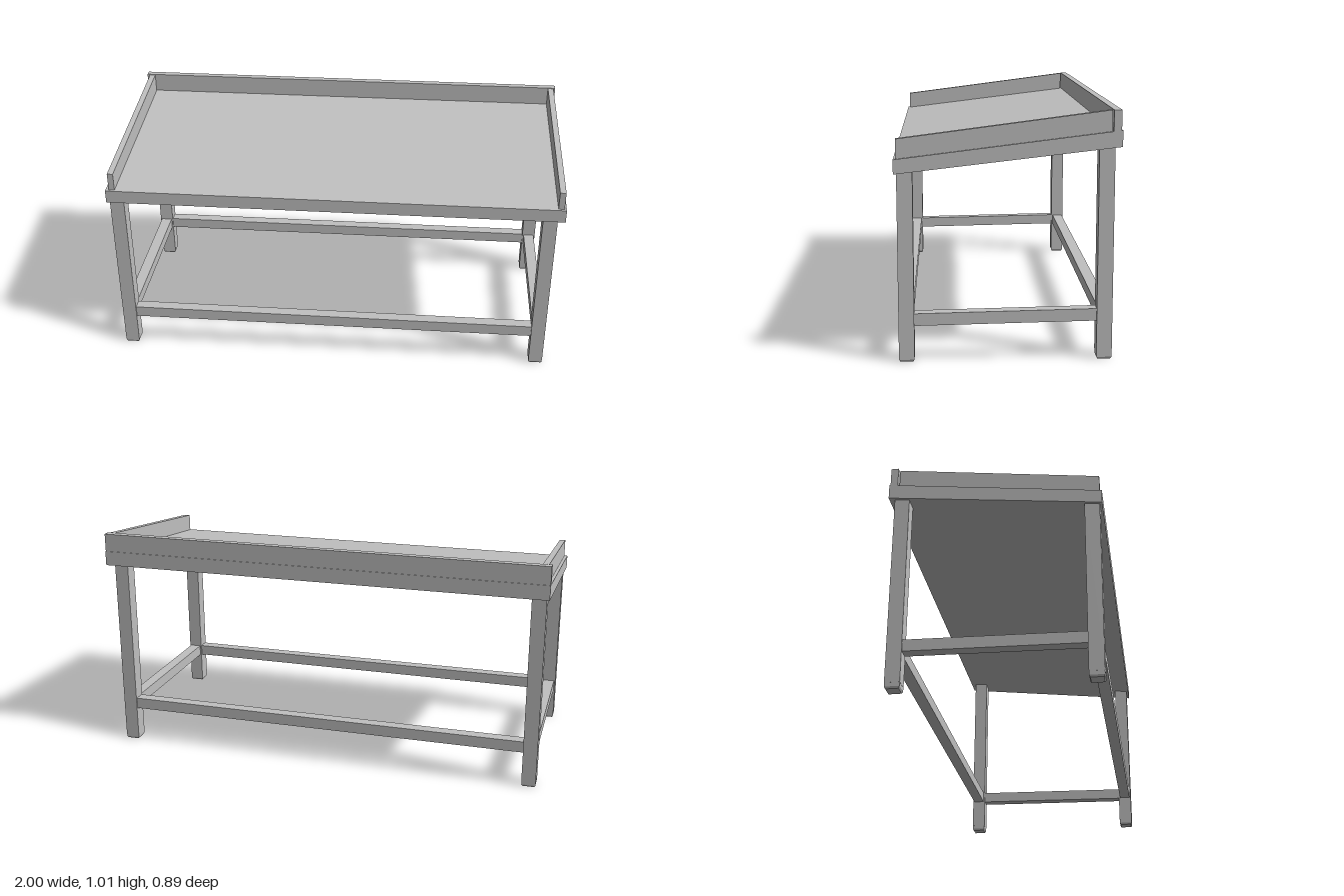
import * as THREE from 'three';

const steel = new THREE.MeshStandardMaterial({ color: 0xc0c0c0 });
steel.name = 'brushed grey';

// Heights of the sloping table top at depth z
const slabTop = z => 0.877 - z * 0.122;
const slabBottom = z => 0.816 - z * 0.114;

export function createModel() {
  const model = new THREE.Group();
  model.name = 'slopedTable';

  const add = (name, geometry) => {
    const mesh = new THREE.Mesh(geometry, steel);
    mesh.name = name;
    model.add(mesh);
    return mesh;
  };

  // Side profile of [z, y] points, extruded from x0 to x1
  const prism = (name, profile, x0, x1) => {
    const shape = new THREE.Shape(profile.map(([z, y]) => new THREE.Vector2(-z, y)));
    const geometry = new THREE.ExtrudeGeometry(shape, { depth: x1 - x0, bevelEnabled: false });
    geometry.rotateY(Math.PI / 2).translate(x0, 0, 0);
    return add(name, geometry);
  };

  // Sloping top
  const zF = 0.445, zB = -0.445;
  prism('tableTop', [
    [zF, slabBottom(zF)], [zB, slabBottom(zB)], [zB, slabTop(zB)], [zF, slabTop(zF)],
  ], -1, 1);

  // Raised rims: two sloping sides and the back
  const sideRim = [
    [0.435, slabTop(0.435)], [-0.405, slabTop(-0.405)], [-0.405, 1.01], [0.435, 0.902],
  ];
  prism('rightRim', sideRim, -0.986, -0.96);
  prism('leftRim', sideRim, 0.965, 0.991);
  prism('backRim', [
    [-0.409, slabTop(-0.409)], [-0.44, slabTop(-0.44)], [-0.44, 1.011], [-0.409, 1.011],
  ], -1, 1);

  // Legs cut to the slope, with chamfered feet
  const w = 0.0625, footH = 0.025;
  const legX = { right: -0.956, left: 0.937 };
  const legZ = { Front: 0.403, Back: -0.39 };
  for (const [side, x] of Object.entries(legX)) {
    for (const [end, z] of Object.entries(legZ)) {
      const f = z + w / 2, b = z - w / 2;
      prism(`${side}${end}Leg`, [
        [f, footH], [b, footH], [b, slabBottom(b)], [f, slabBottom(f)],
      ], x - w / 2, x + w / 2);

      let foot = new THREE.BoxGeometry(w * 0.98, footH, w * 0.98, 1, 3, 1);
      const p = foot.attributes.position;
      for (let i = 0; i < p.count; i++) {
        if (p.getY(i) < -footH * 0.4) p.setXYZ(i, p.getX(i) * 0.86, p.getY(i), p.getZ(i) * 0.86);
      }
      foot = foot.toNonIndexed();
      foot.computeVertexNormals();
      foot.translate(x, footH / 2, z);
      add(`${side}${end}Foot`, foot);
    }
  }

  // Long stretchers, the back one slightly higher
  const h = 0.05;
  const length = legX.left - legX.right - w;
  const midX = (legX.left + legX.right) / 2;
  const bottomY = { Front: 0.147, Back: 0.159 };
  for (const [end, z] of Object.entries(legZ)) {
    add(`stretcher${end}`, new THREE.BoxGeometry(length, h, h).translate(midX, bottomY[end] + h / 2, z));
  }

  // Side stretchers, rising gently to the back
  const f = legZ.Front - w / 2, b = legZ.Back + w / 2;
  for (const [side, x] of Object.entries(legX)) {
    prism(`${side}Stretcher`, [
      [f, bottomY.Front], [b, bottomY.Back], [b, bottomY.Back + h], [f, bottomY.Front + h],
    ], x - h / 2, x + h / 2);
  }

  return model;
}
